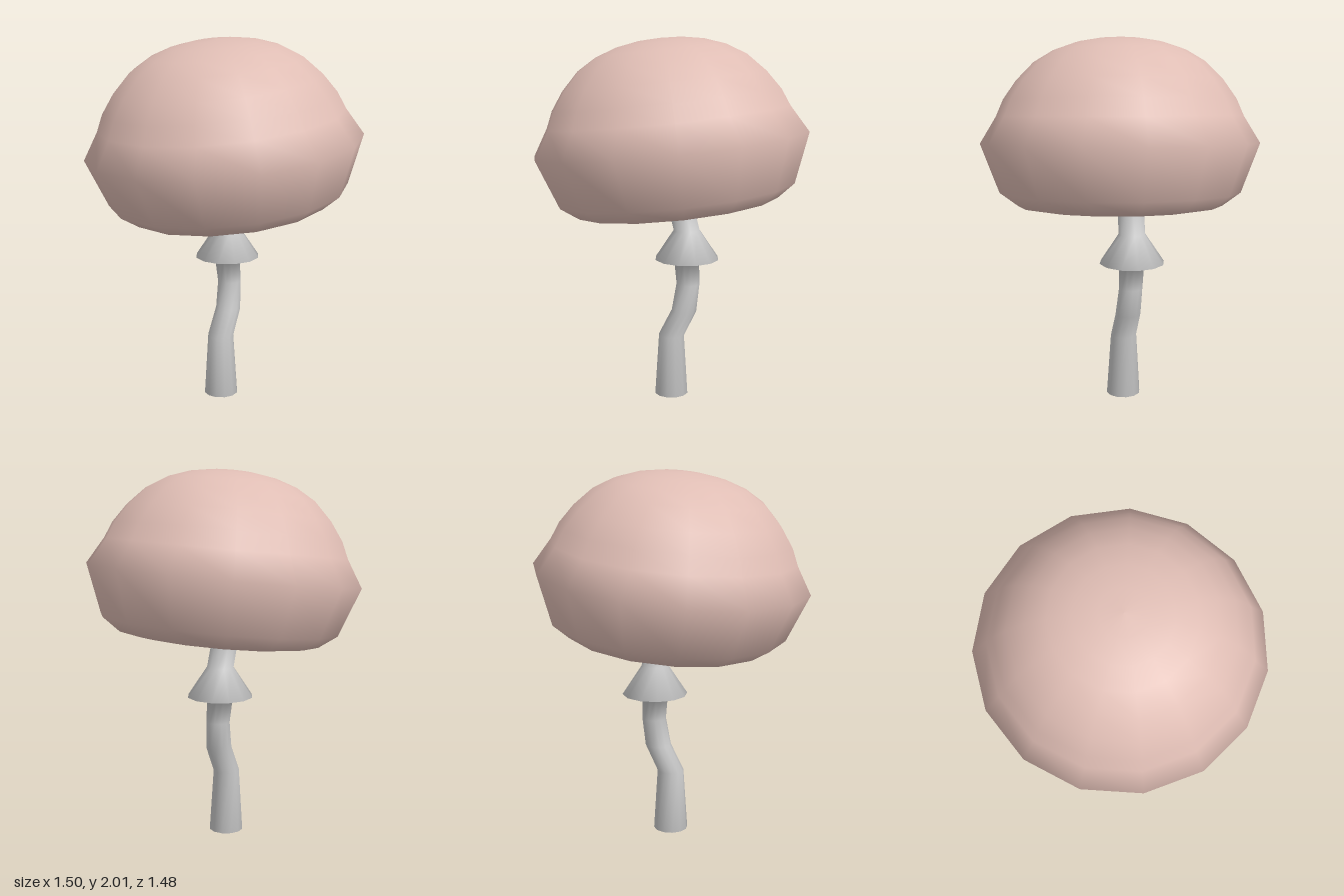
import * as THREE from 'three';

const SIDES = 12;

// Skins a stack of horizontal rings [centreX, y, centreZ, radius], bottom to top
function loftRings(rings) {
  const positions = [];
  const indices = [];
  rings.forEach(([cx, y, cz, r], row) => {
    for (let i = 0; i < SIDES; i++) {
      const t = (i / SIDES) * Math.PI * 2;
      positions.push(cx + r * Math.cos(t), y, cz - r * Math.sin(t));
      if (row === rings.length - 1) continue;
      const a = row * SIDES + i;
      const b = row * SIDES + ((i + 1) % SIDES);
      indices.push(a, b, b + SIDES, a, b + SIDES, a + SIDES);
    }
  });
  const geometry = new THREE.BufferGeometry();
  geometry.setAttribute('position', new THREE.Float32BufferAttribute(positions, 3));
  geometry.setIndex(indices);
  geometry.computeVertexNormals();
  return geometry;
}

export function createModel() {
  const model = new THREE.Group();
  model.name = 'mushroom';

  const capPink = new THREE.MeshStandardMaterial({ color: 0xdfbdb4 });
  capPink.name = 'cap pink';
  const stemGrey = new THREE.MeshStandardMaterial({ color: 0xcacaca });
  stemGrey.name = 'stem grey';

  // Cap: hollowed underside, rounded lower lip, sharp brim and dome
  const profile = [
    [0, -0.25], [0.16, -0.265], [0.32, -0.315], [0.46, -0.352], [0.555, -0.336],
    [0.652, -0.265], [0.752, 0], [0.664, 0.145], [0.625, 0.235], [0.555, 0.335],
    [0.46, 0.432], [0.355, 0.495], [0.24, 0.535], [0.12, 0.556], [0, 0.562],
  ].map(([r, y]) => new THREE.Vector2(r, y));
  const cap = new THREE.Mesh(new THREE.LatheGeometry(profile, 15, Math.PI), capPink);
  cap.name = 'cap';
  cap.position.set(0, 1.441, 0.003);
  cap.rotation.set(0.111, 0, 0.0167);
  model.add(cap);

  // Crooked stem with a flared skirt below the cap
  const stem = new THREE.Mesh(loftRings([
    [-0.02, 0, 0.005, 0],
    [-0.02, 0, 0.005, 0.095],
    [-0.022, 0.345, 0.005, 0.073],
    [-0.034, 0.49, -0.065, 0.071],
    [-0.045, 0.645, -0.085, 0.066],
    [-0.052, 0.79, -0.075, 0.072],
    [-0.053, 0.79, -0.076, 0.18],
    [-0.053, 0.95, -0.075, 0.074],
    [-0.053, 1.1, -0.037, 0.073],
    [-0.053, 1.24, -0.015, 0.073],
  ]), stemGrey);
  stem.name = 'stem';
  model.add(stem);

  return model;
}
